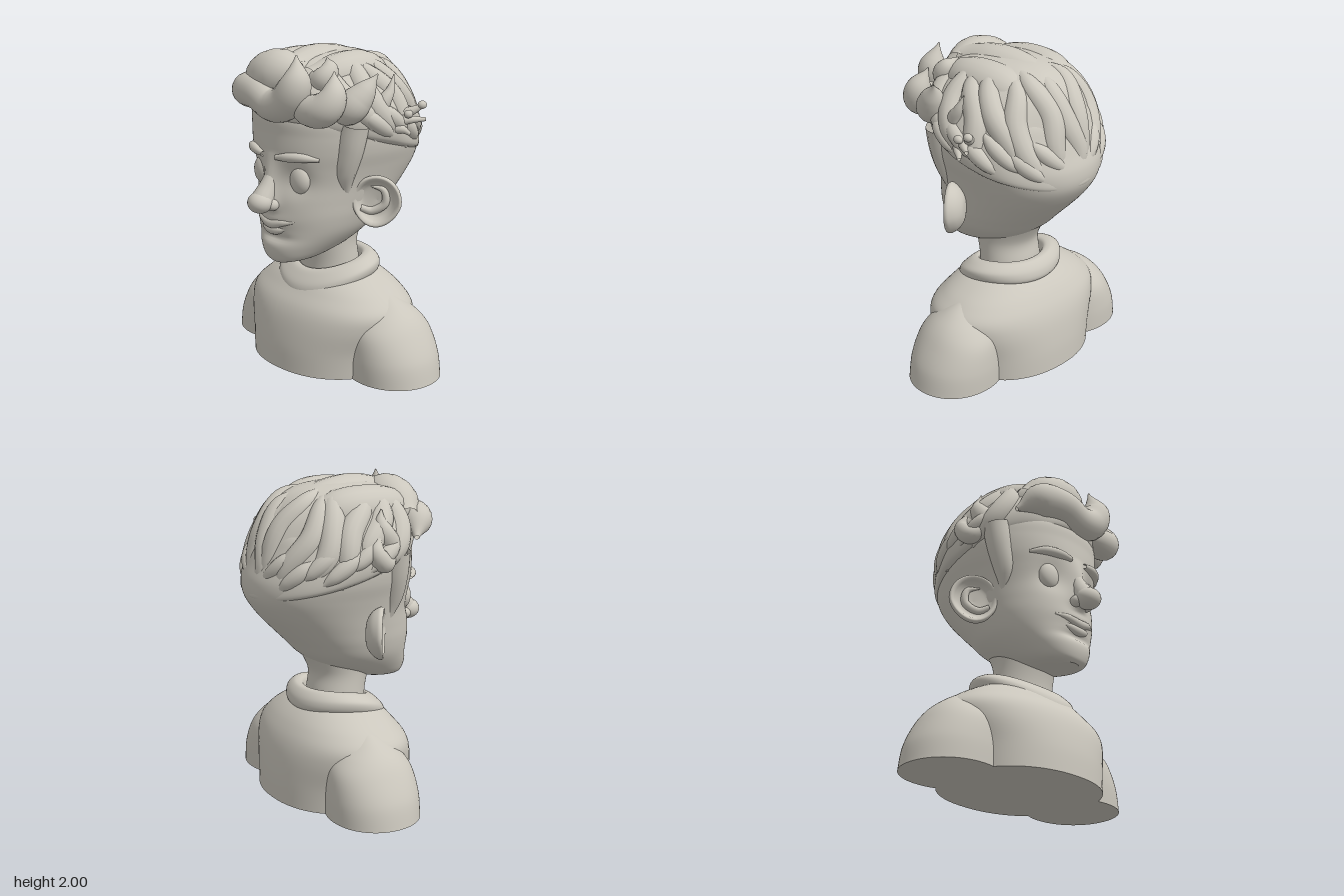
import * as THREE from 'three';
import { mergeVertices } from 'three/addons/utils/BufferGeometryUtils.js';

const clay = new THREE.MeshStandardMaterial({ color: 0xcbc7bd, side: THREE.DoubleSide });
clay.name = 'warm grey clay';

// Catmull-Rom interpolation through rows of numbers, t from 0 to 1
function sample(keys, t) {
  const f = Math.min(Math.max(t, 0), 1) * (keys.length - 1);
  const i = Math.min(Math.floor(f), keys.length - 2), u = f - i;
  const k = (n) => keys[Math.min(Math.max(n, 0), keys.length - 1)];
  return k(i).map((p1, c) => {
    const p0 = k(i - 1)[c], p2 = k(i + 1)[c], p3 = k(i + 2)[c];
    return p1 + 0.5 * u * (p2 - p0 + u * (2 * p0 - 5 * p1 + 4 * p2 - p3 + u * (3 * (p1 - p2) + p3 - p0)));
  });
}

// Point on a body with rows [y, centreX, halfWidth, zFront, zBack, tilt]
function bodyPoint(keys, t, a, e = 2, lift = 0) {
  const [y, cx, rx, zf, zb, tilt] = sample(keys, t);
  const pow = (v) => Math.sign(v) * Math.abs(v) ** (2 / e);
  const x = rx * pow(Math.cos(a));
  const z = (zf + zb) / 2 + ((zf - zb) / 2) * pow(Math.sin(a));
  return new THREE.Vector3(cx + x, y + tilt * z + lift * x * x, z);
}

// Smooth skin through the rows, optionally moved by a rule and closed with caps
function loft(keys, { e = 2, lift = 0, rows = 40, cols = 64, caps = true, rule } = {}) {
  const pos = [], index = [];
  const ring = (t) => {
    for (let j = 0; j < cols; j++) {
      const a = (j / cols) * Math.PI * 2, p = bodyPoint(keys, t, a, e, lift);
      if (rule) rule(p, a, t);
      pos.push(p.x, p.y, p.z);
    }
  };
  for (let i = 0; i <= rows; i++) ring(i / rows);
  for (let i = 0; i < rows; i++) for (let j = 0; j < cols; j++) {
    const a = i * cols + j, b = i * cols + (j + 1) % cols;
    index.push(a, a + cols, b, b, a + cols, b + cols);
  }
  if (caps) for (const t of [0, 1]) {
    const s = pos.length / 3;
    ring(t);
    const k = sample(keys, t), cz = (k[3] + k[4]) / 2;
    pos.push(k[1], k[0] + k[5] * cz, cz);
    for (let j = 0; j < cols; j++) {
      const a = s + j, b = s + (j + 1) % cols;
      if (t) index.push(s + cols, b, a); else index.push(s + cols, a, b);
    }
  }
  const g = new THREE.BufferGeometry();
  g.setAttribute('position', new THREE.Float32BufferAttribute(pos, 3));
  g.setIndex(index);
  g.computeVertexNormals();
  return g;
}

// Tapered tube along a path, with a list of radii
function lock(points, radii, n = 28, sides = 14) {
  const curve = new THREE.CatmullRomCurve3(points.map((p) => (p.isVector3 ? p : new THREE.Vector3(...p))));
  let g = new THREE.TubeGeometry(curve, n, 1, sides);
  const p = g.attributes.position, v = new THREE.Vector3(), rows = radii.map((r) => [r]);
  for (let i = 0; i < p.count; i++) {
    const t = Math.floor(i / (sides + 1)) / n, c = curve.getPointAt(t);
    v.fromBufferAttribute(p, i).sub(c).multiplyScalar(Math.max(sample(rows, t)[0], 0.002)).add(c);
    p.setXYZ(i, v.x, v.y, v.z);
  }
  g.deleteAttribute('uv');
  g.deleteAttribute('normal');
  g = mergeVertices(g, 1e-5);
  g.computeVertexNormals();
  return g;
}

const torsoRows = [[0, 0, 0.51, 0.43, -0.48, 0], [0.15, 0, 0.53, 0.42, -0.475, 0], [0.3, 0, 0.58, 0.39, -0.455, 0], [0.4, 0, 0.585, 0.35, -0.425, 0],
  [0.48, 0, 0.51, 0.29, -0.38, 0], [0.54, 0, 0.42, 0.24, -0.33, 0], [0.59, 0, 0.32, 0.18, -0.27, 0], [0.62, 0, 0.22, 0.13, -0.21, 0]];
const sleeveRows = (s) => [[0, 0.53, 0.3, 0.21, -0.35], [0.14, 0.52, 0.28, 0.21, -0.35], [0.28, 0.49, 0.24, 0.19, -0.33],
  [0.37, 0.44, 0.225, 0.14, -0.28], [0.44, 0.37, 0.21, 0.07, -0.21], [0.5, 0.3, 0.18, 0, -0.14]]
  .map(([y, x, ...r]) => [y, s * x, ...r, 0]);
const collarRows = [[0.49, 0, 0.3, 0.25, -0.28, -0.2], [0.52, 0, 0.34, 0.285, -0.31, -0.2], [0.57, 0, 0.345, 0.275, -0.305, -0.2],
  [0.615, 0, 0.305, 0.235, -0.28, -0.2], [0.64, 0, 0.26, 0.2, -0.25, -0.2], [0.635, 0, 0.22, 0.17, -0.21, -0.2], [0.56, 0, 0.2, 0.15, -0.19, -0.2]];
const neckRows = [[0.5, 0, 0.21, 0.16, -0.2, 0], [0.65, 0, 0.2, 0.17, -0.19, 0], [0.78, 0, 0.2, 0.2, -0.18, 0], [0.92, 0, 0.22, 0.25, -0.25, 0]];
const skullRows = [[0.7, 0, 0.07, 0.43, 0.3], [0.73, 0, 0.16, 0.455, 0.12], [0.8, 0, 0.235, 0.47, -0.1], [0.9, 0, 0.31, 0.455, -0.25],
  [1, 0, 0.35, 0.46, -0.35], [1.1, 0, 0.375, 0.46, -0.45], [1.2, 0, 0.4, 0.455, -0.54], [1.3, 0, 0.43, 0.46, -0.6],
  [1.4, 0, 0.462, 0.46, -0.605], [1.5, 0, 0.475, 0.455, -0.57], [1.6, 0, 0.465, 0.45, -0.53], [1.7, 0, 0.4, 0.4, -0.48], [1.78, 0, 0.28, 0.3, -0.35]]
  .map((r) => [...r, 0]);
const hairRows = [[1.45, 0, 0.45, 0.43, -0.57, 0.27], [1.485, 0, 0.5, 0.46, -0.605, 0.27], [1.58, 0, 0.51, 0.465, -0.575, 0.22],
  [1.7, 0, 0.465, 0.455, -0.52, 0.14], [1.82, 0, 0.38, 0.41, -0.45, 0.06], [1.91, 0, 0.27, 0.32, -0.34, 0.02],
  [1.955, 0, 0.14, 0.18, -0.2, 0.01], [1.965, 0, 0.02, 0.02, -0.04, 0]];

// Depth of the face at a given x and y
const SKULL_E = 2.15;
function faceZ(x, y) {
  const i = Math.max(0, skullRows.findIndex((r) => r[0] >= y) - 1), a = skullRows[i], b = skullRows[i + 1];
  const m = (c) => THREE.MathUtils.lerp(a[c], b[c], (y - a[0]) / (b[0] - a[0]));
  const k = Math.max(0, 1 - Math.abs(x / m(2)) ** SKULL_E) ** (1 / SKULL_E);
  return (m(3) + m(4)) / 2 + ((m(3) - m(4)) / 2) * k;
}
const onFace = (pts, dz) => pts.map(([x, y]) => [x, y, faceZ(x, y) + dz]);
const bump = (x, w) => Math.exp(-((x / w) ** 2));

export function createModel() {
  const model = new THREE.Group();
  const add = (name, geometry, parent = model) => {
    const m = new THREE.Mesh(geometry, clay);
    m.name = name;
    parent.add(m);
    return m;
  };
  const ball = (name, x, y, z, sx, sy, sz) => {
    const m = add(name, new THREE.SphereGeometry(1, 28, 20));
    m.position.set(x, y, z);
    m.scale.set(sx, sy, sz);
    return m;
  };

  // Jumper, neck and head
  add('jumperBody', loft(torsoRows, { e: 2.2 }));
  for (const s of [-1, 1]) add(s > 0 ? 'leftSleeve' : 'rightSleeve', loft(sleeveRows(s), { e: 2.1 }));
  add('rolledCollar', loft(collarRows, { lift: 0.5, caps: false }));
  add('neck', loft(neckRows));
  add('head', loft(skullRows, {
    e: SKULL_E, rows: 90, cols: 160,
    rule: (p) => { // eye sockets, nose bridge, muzzle and the hollow under the lower lip
      if (p.z < 0.1) return;
      const bridge = THREE.MathUtils.clamp((1.4 - p.y) / 0.3, 0, 1) * THREE.MathUtils.clamp((p.y - 1.02) / 0.06, 0, 1);
      p.z += -0.035 * bump(Math.abs(p.x) - 0.17, 0.09) * bump(p.y - 1.24, 0.1)
        + 0.075 * bridge * bump(p.x, 0.055)
        + 0.015 * bump(p.x, 0.13) * bump(p.y - 0.98, 0.05)
        - 0.025 * bump(p.x, 0.12) * bump(p.y - 0.865, 0.025);
    },
  }));

  // Nose and mouth
  add('noseBridge', lock([[0, 1.34, 0.425], [0, 1.26, 0.445], [0, 1.18, 0.48], [0, 1.1, 0.53]], [0.02, 0.04, 0.056, 0.07]));
  ball('noseTip', 0, 1.095, 0.54, 0.078, 0.066, 0.078);
  add('upperLip', lock(onFace([[-0.17, 0.98], [-0.09, 0.968], [0, 0.95], [0.09, 0.968], [0.17, 0.98]], 0), [0.006, 0.022, 0.03, 0.022, 0.006]));
  add('lowerLip', lock(onFace([[-0.12, 0.935], [-0.06, 0.915], [0, 0.907], [0.06, 0.915], [0.12, 0.935]], -0.008), [0.005, 0.022, 0.028, 0.022, 0.005]));

  // Paired features
  const earProfile = [[0, -0.075], [0.07, -0.068], [0.12, -0.038], [0.148, 0], [0.152, 0.02], [0.142, 0.034], [0.126, 0.026],
    [0.11, 0.005], [0.08, -0.015], [0, -0.025]].map((p) => new THREE.Vector2(...p));
  for (const s of [-1, 1]) {
    const side = s > 0 ? 'left' : 'right';
    ball(side + 'Eye', s * 0.17, 1.24, 0.37, 0.074, 0.09, 0.054);
    ball(side + 'Nostril', s * 0.05, 1.08, 0.485, 0.036, 0.036, 0.042);
    add(side + 'Eyebrow', lock(onFace([[0.06, 1.37], [0.14, 1.38], [0.23, 1.385], [0.31, 1.375]], 0.008).map(([x, y, z]) => [s * x, y, z]),
      [0.016, 0.028, 0.026, 0.01]));
    add(side + 'Sideburn', lock([[s * 0.41, 1.58, 0.16], [s * 0.385, 1.44, 0.17], [s * 0.345, 1.28, 0.175], [s * 0.33, 1.14, 0.15]], [0.09, 0.085, 0.07, 0.03]));
    const ear = new THREE.Group();
    ear.name = side + 'Ear';
    ear.position.set(s * 0.452, 1.1, 0.012);
    ear.rotation.set(0, s * 0.66, -s * 0.15);
    model.add(ear);
    const bowl = new THREE.LatheGeometry(new THREE.SplineCurve(earProfile).getPoints(40), 40);
    bowl.rotateX(Math.PI / 2);
    const v = bowl.attributes.position;
    for (let i = 0; i < v.count; i++) v.setX(i, v.getX(i) * (1 + 0.9 * Math.min(v.getY(i), 0))); // narrower lobe
    bowl.computeVertexNormals();
    add('earBowl', bowl, ear).scale.set(1, 1.06, 1);
    add('earFold', lock([[-s * 0.09, -0.06, 0], [-s * 0.02, -0.07, -0.015], [s * 0.05, -0.01, -0.015], [s * 0.03, 0.07, -0.01], [-s * 0.05, 0.08, -0.01]],
      [0.02, 0.025, 0.025, 0.02, 0.005]), ear);
  }

  // Hair mass with shallow grooves
  add('hairMass', loft(hairRows, {
    rows: 48, cols: 128, caps: false,
    rule: (p, a, t) => {
      const k = 1 + 0.012 * Math.sin(11 * a + 7 * t) * Math.sin(Math.PI * t);
      p.x *= k;
      p.z *= k;
    },
  }));
  // Broad wavy strands that swing toward the middle of the back
  for (let i = 0; i < 13; i++) {
    const a0 = Math.PI * (0.84 + (i / 12) * 1.32), turn = 0.55 * Math.sign(6 - i);
    const path = [0.82, 0.64, 0.47, 0.32, 0.14].map((t, j) => {
      const p = bodyPoint(hairRows, t + (i % 2) * 0.05, a0 + turn * (j / 4 - 0.5) + 0.1 * Math.sin(j * 1.8 + i * 2));
      return p.multiply(new THREE.Vector3(0.925, 0.987, 0.925));
    });
    add('hairStrand', lock(path, [0.02, 0.065, 0.08, 0.07, 0.02]));
  }
  // Sideways strands just above the hairline
  for (let i = 0; i < 6; i++) for (const s of [-1, 1]) {
    const a = 0.45 - i * 0.28;
    const path = [0, 1, 2, 3].map((j) => {
      const p = bodyPoint(hairRows, 0.36 - j * 0.06 + 0.05 * (i % 2), a - j * 0.17);
      return p.multiply(new THREE.Vector3(s * 0.965, 1, 0.965));
    });
    add('hairlineStrand', lock(path, [0.015, 0.05, 0.045, 0.01]));
  }

  // Named locks as [points, radii]
  const locks = {
    frontWave: [[[-0.4, 1.64, 0.32], [-0.27, 1.725, 0.4], [-0.1, 1.725, 0.445], [0.03, 1.68, 0.455], [0.14, 1.71, 0.45], [0.215, 1.82, 0.44], [0.19, 1.985, 0.41]],
      [0.015, 0.1, 0.105, 0.1, 0.105, 0.09, 0.004]],
    frontCurl: [[[0.16, 1.66, 0.38], [0.28, 1.67, 0.39], [0.38, 1.69, 0.37], [0.42, 1.76, 0.34], [0.38, 1.9, 0.29]], [0.05, 0.09, 0.1, 0.07, 0.004]],
    sideCurl: [[[0.34, 1.68, 0.22], [0.41, 1.67, 0.22], [0.46, 1.74, 0.17], [0.52, 1.88, 0.08]], [0.07, 0.095, 0.065, 0.004]],
    crownCurl: [[[0.2, 1.8, 0.25], [0.27, 1.84, 0.27], [0.28, 1.89, 0.24], [0.22, 1.95, 0.2]], [0.09, 0.075, 0.05, 0.004]],
    quiffTop: [[[-0.32, 1.74, 0.3], [-0.18, 1.8, 0.32], [0, 1.83, 0.33], [0.13, 1.83, 0.31]], [0.08, 0.15, 0.16, 0.1]],
    topLeftSweep: [[[0.18, 1.8, 0.3], [0.2, 1.83, 0.1], [0.17, 1.81, -0.15], [0.1, 1.74, -0.36]], [0.1, 0.14, 0.14, 0.07]],
    topMiddleSweep: [[[0.04, 1.84, 0.33], [0, 1.85, 0.12], [-0.03, 1.83, -0.12], [0, 1.75, -0.36], [0.02, 1.58, -0.48]], [0.12, 0.15, 0.14, 0.11, 0.06]],
    topRightSweep: [[[-0.18, 1.78, 0.3], [-0.23, 1.81, 0.12], [-0.23, 1.8, -0.12], [-0.15, 1.74, -0.34]], [0.13, 0.145, 0.14, 0.07]],
    rightTuft: [[[-0.42, 1.62, 0.1], [-0.45, 1.7, 0.05], [-0.44, 1.76, 0.03], [-0.43, 1.84, 0.04]], [0.08, 0.065, 0.04, 0.004]],
    rightCurl: [[[-0.44, 1.56, 0.1], [-0.5, 1.53, 0.02], [-0.51, 1.6, -0.04], [-0.49, 1.68, -0.02]], [0.04, 0.055, 0.055, 0.02]],
    leftSpike: [[[0.42, 1.62, 0], [0.46, 1.7, -0.03], [0.47, 1.76, -0.07], [0.46, 1.85, -0.11]], [0.06, 0.045, 0.025, 0.004]],
    leftFingerHigh: [[[0.46, 1.6, -0.16], [0.52, 1.63, -0.21], [0.56, 1.66, -0.25]], [0.04, 0.028, 0.016]],
    leftFingerMiddle: [[[0.46, 1.57, -0.1], [0.53, 1.58, -0.18], [0.58, 1.58, -0.26]], [0.04, 0.025, 0.012]],
    leftFingerLow: [[[0.46, 1.54, -0.06], [0.52, 1.53, -0.12], [0.55, 1.5, -0.16]], [0.04, 0.03, 0.012]],
  };
  for (const [name, [points, radii]] of Object.entries(locks)) add(name, lock(points, radii, 40, 20));
  for (const [x, y, z] of [[0.56, 1.665, -0.25], [0.545, 1.62, -0.15]]) ball('hairTipBead', x, y, z, 0.025, 0.025, 0.03);
  return model;
}
